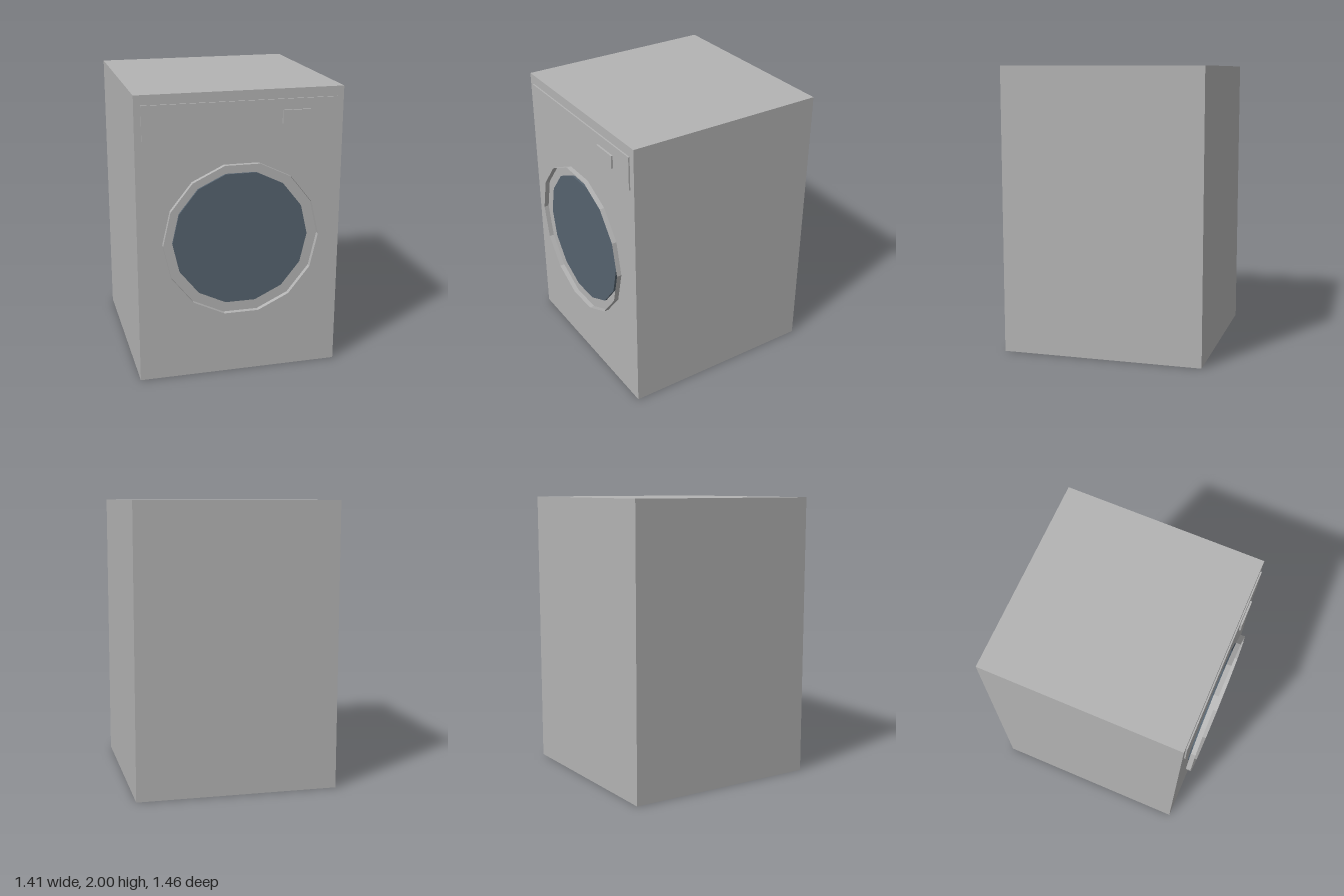
import * as THREE from 'three';

export function createModel() {
  const model = new THREE.Group();
  model.name = 'washingMachine';

  const casing = new THREE.MeshStandardMaterial({ name: 'casing grey', color: 0xb4b4b4, flatShading: true });
  const rimGrey = casing.clone();
  rimGrey.name = 'rim grey';
  rimGrey.side = THREE.DoubleSide;
  const glass = new THREE.MeshStandardMaterial({ name: 'door glass', color: 0x56636f, flatShading: true });

  const add = (name, geometry, material) => {
    const mesh = new THREE.Mesh(geometry, material);
    mesh.name = name;
    model.add(mesh);
  };

  // Box given by its limits on each axis
  const box = (name, [x0, x1], [y0, y1], [z0, z1]) => {
    const g = new THREE.BoxGeometry(x1 - x0, y1 - y0, z1 - z0);
    g.translate((x0 + x1) / 2, (y0 + y1) / 2, (z0 + z1) / 2);
    add(name, g, casing);
  };

  // 14-sided disc or open band facing the front, with corners at left and right
  const doorPart = (name, radius, z0, z1, open, material) => {
    const g = new THREE.CylinderGeometry(radius, radius, z1 - z0, 14, 1, open, Math.PI / 2);
    g.rotateX(Math.PI / 2);
    g.translate(0, 0.99, (z0 + z1) / 2);
    add(name, g, material);
  };

  // Cabinet, control panel and its raised display
  box('cabinet', [-0.706, 0.706], [0, 2], [-0.731, 0.683]);
  box('controlPanel', [-0.66, 0.66], [1.7, 1.933], [0.67, 0.693]);
  box('display', [0.28, 0.468], [1.77, 1.86], [0.68, 0.706]);

  // Round door: glass disc with a thin open rim standing in front
  doorPart('doorGlass', 0.47, 0.67, 0.698, false, glass);
  doorPart('doorRim', 0.54, 0.697, 0.731, true, rimGrey);

  return model;
}
